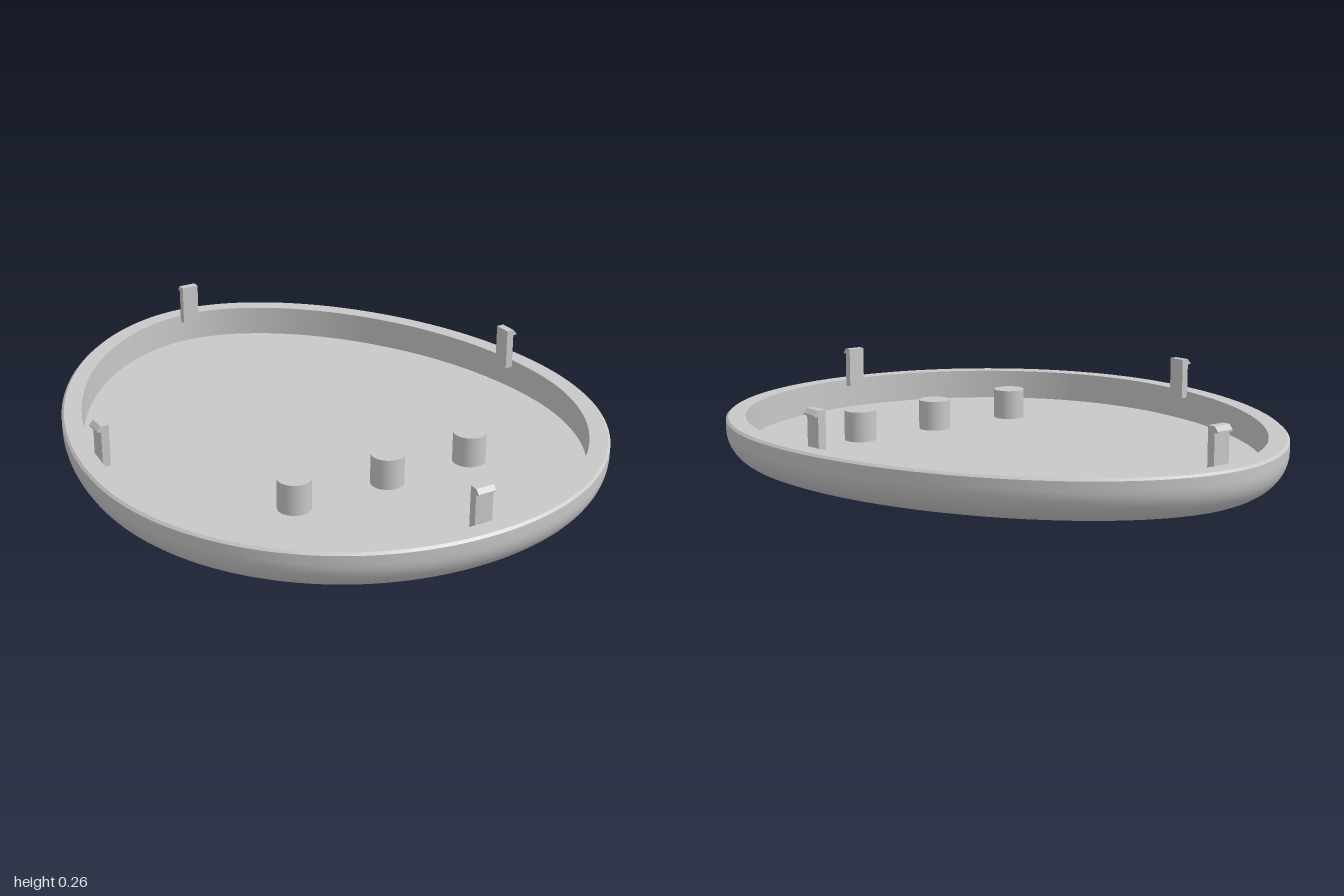
import * as THREE from 'three';

const V = (x, z) => new THREE.Vector2(x, z);

// Egg outline (x, z) with outward normals; narrow end at the back
function eggOutline(n = 56) {
  const back = new THREE.CubicBezierCurve(V(0, -1), V(0.41, -1), V(0.843, -0.45), V(0.843, 0.15));
  const front = new THREE.CubicBezierCurve(V(0.843, 0.15), V(0.843, 0.63), V(0.48, 1), V(0, 1));
  const half = [];
  for (const curve of [back, front]) {
    for (let i = 0; i < n; i++) {
      const p = curve.getPoint(i / n), t = curve.getTangent(i / n);
      half.push({ x: p.x, z: p.y, nx: t.y, nz: -t.x });
    }
  }
  const mirrored = half.slice(1).reverse().map(p => ({ x: -p.x, z: p.z, nx: -p.nx, nz: p.nz }));
  return [...half, { x: 0, z: 1, nx: 0, nz: 1 }, ...mirrored];
}

// Skin between rings, each [inset, y]; inset null collapses to the centre
function eggLoft(outline, profile) {
  const pos = [], index = [], n = outline.length;
  for (const [inset, y] of profile) {
    for (const p of outline) {
      if (inset === null) pos.push(0, y, 0.1);
      else pos.push(p.x - p.nx * inset, y, p.z - p.nz * inset);
    }
  }
  for (let j = 0; j < profile.length - 1; j++) {
    for (let i = 0; i < n; i++) {
      const a = j * n + i, b = j * n + (i + 1) % n, c = a + n, d = b + n;
      if (profile[j][0] !== null) index.push(a, c, b);
      if (profile[j + 1][0] !== null) index.push(b, c, d);
    }
  }
  const geo = new THREE.BufferGeometry();
  geo.setAttribute('position', new THREE.Float32BufferAttribute(pos, 3));
  geo.setIndex(index);
  geo.computeVertexNormals();
  return geo;
}

export function createModel() {
  const model = new THREE.Group();
  model.name = 'eggShapedCover';
  const grey = new THREE.MeshStandardMaterial({ color: 0xc8c8c8 });
  grey.name = 'lightGrey';
  const add = (name, geo) => {
    const mesh = new THREE.Mesh(geo, grey);
    mesh.name = name;
    model.add(mesh);
    return mesh;
  };

  // Shell: flat underside, rounded side, chamfered rim, inner wall and floor
  const outline = eggOutline();
  const R = 0.105, floorY = 0.04, rimY = 0.142, wall = 0.065;
  const side = [];
  for (let i = 0; i <= 10; i++) {
    const a = (i / 10) * Math.PI / 2;
    side.push([R * (1 - Math.sin(a)), R * (1 - Math.cos(a))]);
  }
  side.push([0, 0.135]);
  const parts = {
    underside: [[null, 0], [R, 0]],
    outerSide: side,
    rimChamfer: [[0, 0.135], [0.008, rimY]],
    rimTop: [[0.008, rimY], [wall, rimY]],
    innerWall: [[wall, rimY], [wall, floorY]],
    floor: [[wall, floorY], [null, floorY]],
  };
  for (const [name, profile] of Object.entries(parts)) add(name, eggLoft(outline, profile));

  // Three round bosses on the floor
  const bossHeight = 0.1;
  for (const x of [-0.32, 0.01, 0.317]) {
    const boss = add('boss', new THREE.CylinderGeometry(0.053, 0.053, bossHeight, 40));
    boss.position.set(x, floorY + bossHeight / 2, 0.418);
  }

  // Snap clips with an outward hook, one on each side
  const hook = new THREE.Shape([
    V(0, 0.12), V(0.026, 0.12), V(0.026, 0.238), V(0.038, 0.238),
    V(0.038, 0.243), V(0.026, 0.257), V(0, 0.257),
  ]);
  const clipGeo = new THREE.ExtrudeGeometry(hook, { depth: 0.06, bevelEnabled: false });
  clipGeo.translate(0, 0, -0.03);
  const clips = [
    ['leftClip', 0.741, 0, 0], ['rightClip', -0.741, 0, Math.PI],
    ['frontClip', 0, 0.908, -Math.PI / 2], ['backClip', 0, -0.908, Math.PI / 2],
  ];
  for (const [name, x, z, turn] of clips) {
    const clip = add(name, clipGeo);
    clip.position.set(x, 0, z);
    clip.rotation.y = turn;
  }
  return model;
}
